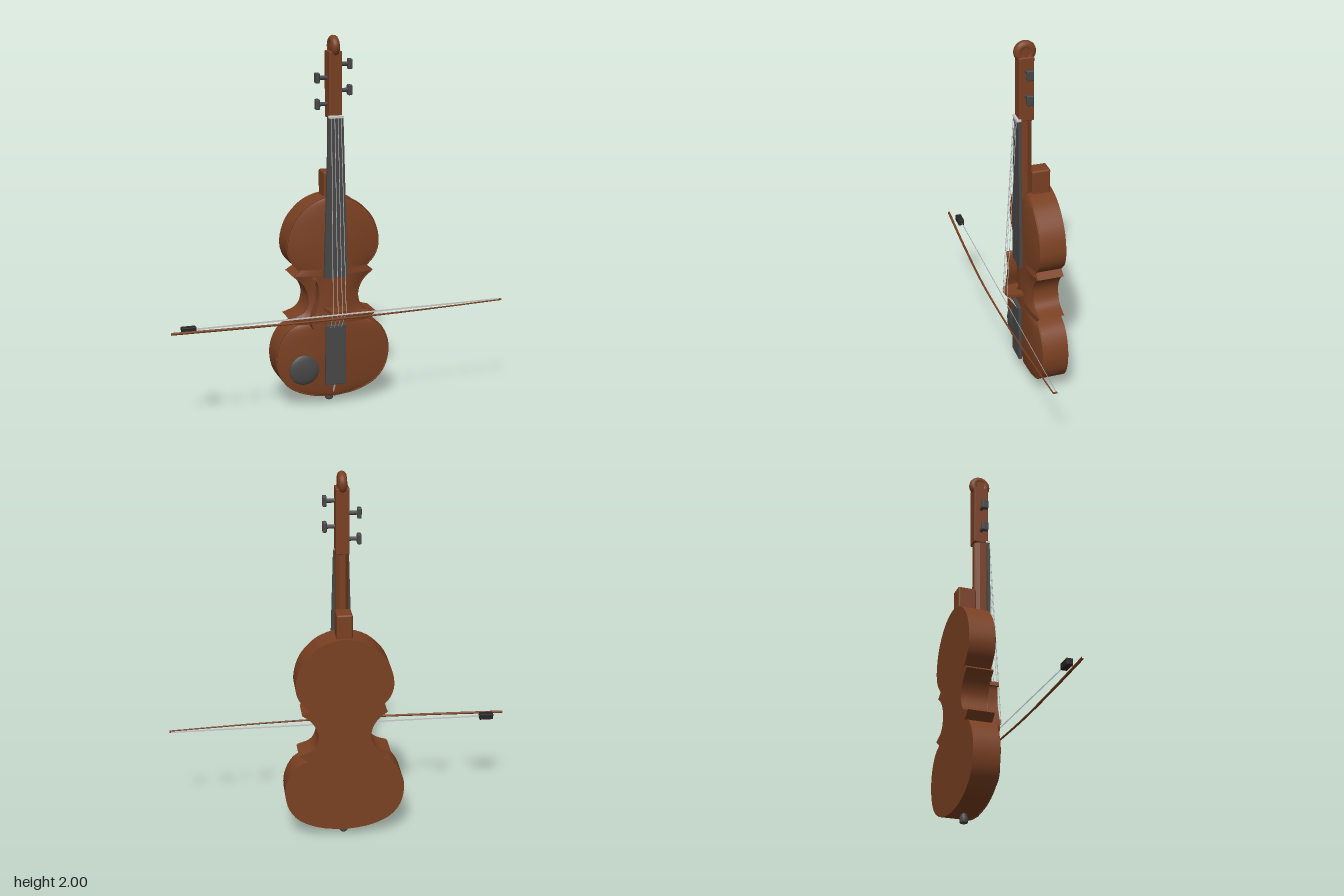
import * as THREE from 'three';
import { toCreasedNormals } from 'three/addons/utils/BufferGeometryUtils.js';
import { RoundedBoxGeometry } from 'three/addons/geometries/RoundedBoxGeometry.js';

const mat = (color, side = THREE.FrontSide) => new THREE.MeshStandardMaterial({ color, side });
const WOOD = mat(0x7a4022), DARK = mat(0x484848), BLACK = mat(0x262626), LIGHT = mat(0xcccccc);
const HAIR = mat(0xcccccc, THREE.DoubleSide);
const V = (x, y, z) => new THREE.Vector3(x, y, z);

export function createModel() {
  const model = new THREE.Group();
  const add = (name, geometry, material, x = 0, y = 0, z = 0, parent = model) => {
    const mesh = new THREE.Mesh(geometry, material);
    mesh.name = name;
    mesh.position.set(x, y, z);
    parent.add(mesh);
    return mesh;
  };
  const box = (name, m, w, h, d, x, y, z, r = 0.006, parent = model) =>
    add(name, new RoundedBoxGeometry(w, h, d, 2, r), m, x, y, z, parent);
  // Straight round rod between two points
  const rod = (name, m, a, b, r, parent = model) => {
    const mesh = add(name, new THREE.CylinderGeometry(r, r, a.distanceTo(b), 8), m, 0, 0, 0, parent);
    mesh.position.copy(a).add(b).multiplyScalar(0.5);
    mesh.quaternion.setFromUnitVectors(V(0, 1, 0), b.clone().sub(a).normalize());
    return mesh;
  };
  // Flat shape of corner points, extruded along z
  const slab = (points, depth, bevel = 0) => new THREE.ExtrudeGeometry(
    new THREE.Shape(points.map(p => new THREE.Vector2(...p))),
    { depth, bevelEnabled: bevel > 0, bevelSize: bevel, bevelThickness: bevel, bevelOffset: -bevel, bevelSegments: 2 });

  // Half outline from the top down: upper bout, waist, lower bout, with sharp corners between
  const bouts = [
    [[0, 1.157], [0.07, 1.145], [0.15, 1.105], [0.225, 1.02], [0.257, 0.91], [0.24, 0.825], [0.185, 0.762]],
    [[0.225, 0.737], [0.18, 0.702], [0.15, 0.655], [0.14, 0.61], [0.15, 0.56], [0.18, 0.525], [0.245, 0.502]],
    [[0.195, 0.467], [0.26, 0.435], [0.305, 0.365], [0.32, 0.28], [0.3, 0.185], [0.24, 0.11], [0.13, 0.062], [0, 0.045]],
  ];
  const half = bouts.flatMap(b =>
    new THREE.SplineCurve(b.map(p => new THREE.Vector2(...p))).getPoints(24));
  const outline = [...half.map(p => [p.x, p.y]), ...half.slice(1, -1).reverse().map(p => [-p.x, p.y])];

  // Ribs and flat back
  const zEdge = -0.036, zBack = -0.176;
  add('bodyRibsAndBack', toCreasedNormals(slab(outline.slice().reverse(), zEdge - zBack), 0.6), WOOD, 0, 0, zBack);

  // Arched front plate, one row per outline point
  const cols = 24, pos = [], idx = [];
  half.forEach((p, i) => {
    const t = (p.y - 0.045) / 1.112;
    const rise = 0.03 * Math.sqrt(Math.max(0, Math.min(1, 6 * t * (1 - t))));
    for (let j = 0; j <= cols; j++) {
      const u = -1 + 2 * j / cols;
      pos.push(p.x * u, p.y, zEdge + rise * (1 - u * u));
      if (i && j) {
        const d = i * (cols + 1) + j, c = d - 1, b = d - cols - 1, a = b - 1;
        idx.push(a, c, b, b, c, d);
      }
    }
  });
  const plate = new THREE.BufferGeometry();
  plate.setAttribute('position', new THREE.Float32BufferAttribute(pos, 3));
  plate.setIndex(idx);
  plate.computeVertexNormals();
  add('frontPlate', plate, WOOD);

  // Thin raised edging around the front
  const edge = new THREE.CurvePath();
  outline.forEach((p, i) => {
    const q = outline[(i + 1) % outline.length];
    edge.add(new THREE.LineCurve3(V(p[0] * 0.985, p[1], zEdge), V(q[0] * 0.985, q[1], zEdge)));
  });
  add('frontEdging', new THREE.TubeGeometry(edge, 300, 0.004, 6, true), WOOD);

  // Sound hole ornament: a thin S-shaped wall
  const sCurve = new THREE.SplineCurve([[-0.125, 0.7], [-0.115, 0.725], [-0.1, 0.69], [-0.1, 0.61],
    [-0.125, 0.53], [-0.135, 0.48], [-0.125, 0.455], [-0.112, 0.475]].map(p => new THREE.Vector2(...p)));
  const sLeft = [], sRight = [];
  for (let i = 0; i <= 40; i++) {
    const p = sCurve.getPoint(i / 40), t = sCurve.getTangent(i / 40);
    sLeft.push([p.x - t.y * 0.004, p.y + t.x * 0.004]);
    sRight.unshift([p.x + t.y * 0.004, p.y - t.x * 0.004]);
  }
  add('soundHole', toCreasedNormals(slab([...sLeft, ...sRight], 0.055), 0.6), WOOD, 0, 0, -0.022);

  // Neck with chamfered back, heel, peg box
  const neck = slab([[-0.033, 0], [-0.033, 0.035], [-0.016, 0.062], [0.016, 0.062], [0.033, 0.035], [0.033, 0]], 0.45);
  add('neck', neck, WOOD, 0, 1.58, -0.001).rotation.x = Math.PI / 2;
  model.getObjectByName('neck').scale.y = -1;
  model.getObjectByName('neck').geometry.rotateZ(Math.PI);
  model.getObjectByName('neck').scale.y = 1;
  box('heel', WOOD, 0.084, 0.15, 0.1, 0, 1.208, -0.11, 0.01);
  box('pegBox', WOOD, 0.07, 0.345, 0.08, 0, 1.748, -0.03, 0.005);

  // Scroll: ring with a round eye
  const scroll = new THREE.Group();
  scroll.name = 'scroll';
  scroll.position.set(0, 1.942, -0.03);
  model.add(scroll);
  add('scrollRing', new THREE.TorusGeometry(0.035, 0.023, 16, 40), WOOD, 0, 0, 0, scroll).rotation.y = Math.PI / 2;
  add('scrollEye', new THREE.CylinderGeometry(0.024, 0.024, 0.044, 24), WOOD, 0, 0, 0, scroll).rotation.z = Math.PI / 2;

  // Tuning pegs on alternating sides
  [1.85, 1.783, 1.715, 1.647].forEach((y, i) => {
    const s = i % 2 ? -1 : 1, peg = new THREE.Group();
    peg.name = 'tuningPeg';
    model.add(peg);
    rod('pegShaft', DARK, V(s * 0.02, y, -0.03), V(s * 0.08, y, -0.03), 0.011, peg);
    box('pegHead', DARK, 0.022, 0.055, 0.036, s * 0.088, y, -0.03, 0.006, peg);
  });

  // Fingerboard, nut and tailpiece
  add('fingerboard', slab([[-0.065, 0.725], [0.065, 0.725], [0.04, 1.577], [-0.04, 1.577]], 0.016), DARK, 0, 0, 0);
  box('nut', LIGHT, 0.076, 0.016, 0.024, 0, 1.583, 0.009, 0.004);
  add('tailpiece', slab([[-0.058, 0.125], [0.058, 0.125], [0.056, 0.463], [-0.056, 0.463]], 0.012, 0.004), DARK, 0, 0, 0.003);

  // Bridge with two feet, curved on top
  const bridge = new THREE.Shape();
  bridge.moveTo(-0.058, -0.012);
  bridge.lineTo(-0.025, -0.012);
  bridge.quadraticCurveTo(0, 0.035, 0.025, -0.012);
  bridge.lineTo(0.058, -0.012);
  bridge.lineTo(0.046, 0.07);
  bridge.quadraticCurveTo(0, 0.098, -0.046, 0.07);
  const bridgeMesh = add('bridge', new THREE.ExtrudeGeometry(bridge, { depth: 0.016, bevelEnabled: false }), WOOD, 0, 0.556, 0);
  bridgeMesh.rotation.x = Math.PI / 2;

  // Strings run nut to bridge to tailpiece
  for (let i = 0; i < 4; i++) {
    const k = (i - 1.5) / 1.5, top = V(k * 0.036, 0.548, 0.088 - 0.01 * k * k);
    rod('stringUpper', LIGHT, V(k * 0.026, 1.585, 0.021), top, 0.0016);
    rod('stringLower', LIGHT, top, V(k * 0.03, 0.45, 0.018), 0.0016);
  }

  // Tail gut, end button and chin rest
  rod('tailGut', LIGHT, V(0, 0.14, 0.008), V(0, 0.055, -0.038), 0.005);
  const button = new THREE.LatheGeometry([[0, 0], [0.017, 0], [0.022, 0.006], [0.022, 0.03], [0.016, 0.036], [0.016, 0.06]]
    .map(p => new THREE.Vector2(...p)), 20);
  add('endButton', button, DARK, 0, 0, -0.108);
  add('chinRest', new THREE.SphereGeometry(0.084, 32, 20), DARK, -0.167, 0.215, -0.018).scale.z = 0.24;

  // Bow: tapering curved stick, frog, tip and hair ribbon
  const bow = new THREE.Group();
  bow.name = 'bow';
  bow.position.y = 0.546;
  model.add(bow);
  const stickCurve = new THREE.CatmullRomCurve3([V(-0.918, 0, 0.142), V(-0.5, 0, 0.16), V(-0.08, 0, 0.169),
    V(0.4, 0, 0.154), V(0.915, 0, 0.118)]);
  const stick = new THREE.TubeGeometry(stickCurve, 60, 1, 8);
  const sp = stick.attributes.position;
  for (let i = 0; i < sp.count; i++) {
    const t = Math.floor(i / 9) / 60, c = stickCurve.getPointAt(t), r = 0.0075 - 0.004 * t;
    const p = V(0, 0, 0).fromBufferAttribute(sp, i).sub(c).multiplyScalar(r).add(c);
    sp.setXYZ(i, p.x, p.y, p.z);
  }
  add('bowStick', stick, WOOD, 0, 0, 0, bow);
  box('bowFrog', BLACK, 0.076, 0.034, 0.034, -0.818, 0, 0.103, 0.004, bow);
  box('bowTip', WOOD, 0.007, 0.008, 0.022, 0.914, 0, 0.109, 0.002, bow);
  add('bowHair', new THREE.PlaneGeometry(1.7, 0.009), HAIR, 0.065, 0, 0.102, bow);

  return model;
}
